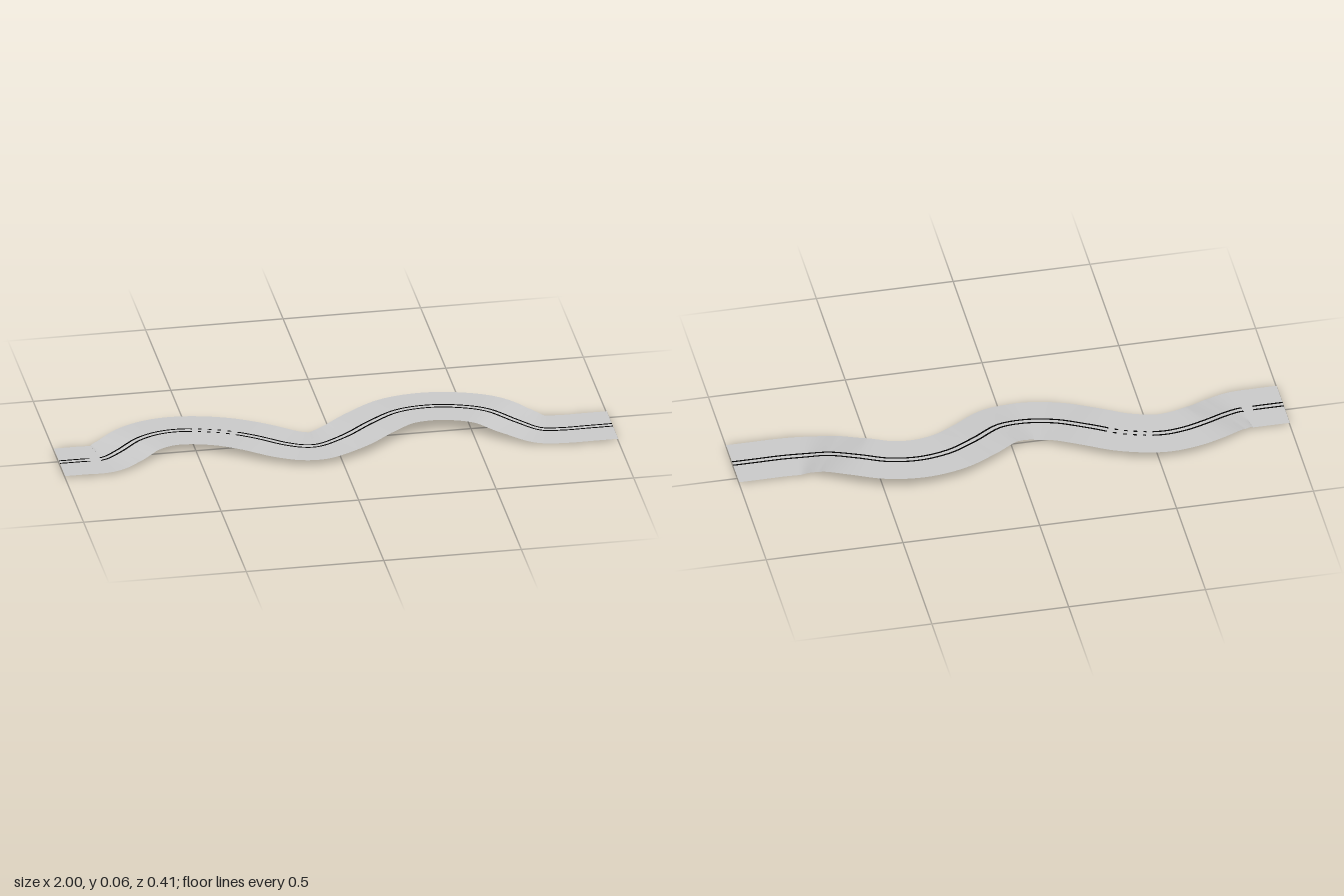
import * as THREE from 'three';

const STEPS = 320;
const HALF_WIDTH = 0.114;

// Centre line of the road: x, height, z
const path = new THREE.CatmullRomCurve3([
  [-1, 0.008, 0.022], [-0.92, 0.008, 0.022], [-0.84, 0.008, 0.02], [-0.78, 0.018, -0.008],
  [-0.7, 0.034, -0.058], [-0.62, 0.038, -0.088], [-0.53, 0.037, -0.096], [-0.4, 0.037, -0.063],
  [-0.29, 0.036, -0.003], [-0.185, 0.028, 0.06], [-0.12, 0.024, 0.083], [-0.067, 0.026, 0.088],
  [0.03, 0.041, 0.06], [0.136, 0.05, -0.013], [0.24, 0.056, -0.072], [0.35, 0.056, -0.092],
  [0.46, 0.055, -0.077], [0.565, 0.053, -0.03], [0.66, 0.032, 0.034], [0.74, 0.011, 0.07],
  [0.82, 0.008, 0.079], [0.91, 0.008, 0.079], [1, 0.008, 0.079],
].map(p => new THREE.Vector3(...p)), false, 'centripetal');

// Flat strip following the path between two sideways offsets
function ribbon(from, to, columns, lift) {
  const positions = [], index = [];
  for (let i = 0; i <= STEPS; i++) {
    const p = path.getPoint(i / STEPS);
    const t = path.getTangent(i / STEPS);
    const len = Math.hypot(t.x, t.z);
    for (let j = 0; j <= columns; j++) {
      const d = from + (to - from) * j / columns;
      positions.push(p.x - t.z / len * d, p.y + lift(p.x), p.z + t.x / len * d);
      if (i < STEPS && j < columns) {
        const a = i * (columns + 1) + j, b = a + columns + 1;
        index.push(a, a + 1, b, a + 1, b + 1, b);
      }
    }
  }
  const geometry = new THREE.BufferGeometry();
  geometry.setAttribute('position', new THREE.Float32BufferAttribute(positions, 3));
  geometry.setIndex(index);
  geometry.computeVertexNormals();
  return geometry;
}

// Lane lines sit just above the road and sink through it in the worn stretches
function lineLift(x) {
  let y = 0.0008;
  y -= 0.0088 * Math.exp(-(((x + 0.87) / 0.012) ** 2));
  if (x > -0.5 && x < -0.34) y -= 0.0012 * (1 + Math.sin(x * 190));
  return y;
}

export function createModel() {
  const group = new THREE.Group();
  group.name = 'windingRoad';
  const roadGrey = new THREE.MeshStandardMaterial({ color: 0xcccccc, side: THREE.DoubleSide });
  roadGrey.name = 'roadGrey';
  const lineBlack = new THREE.MeshStandardMaterial({ color: 0x000000, side: THREE.DoubleSide });
  lineBlack.name = 'lineBlack';

  // Road surface
  const road = new THREE.Mesh(ribbon(-HALF_WIDTH, HALF_WIDTH, 4, () => 0), roadGrey);
  road.name = 'roadSurface';
  group.add(road);

  // Pair of centre lines
  for (const side of [-1, 1]) {
    const centre = side * 0.0105;
    const line = new THREE.Mesh(ribbon(centre - 0.0035, centre + 0.0035, 1, lineLift), lineBlack);
    line.name = side < 0 ? 'backCentreLine' : 'frontCentreLine';
    group.add(line);
  }
  return group;
}
